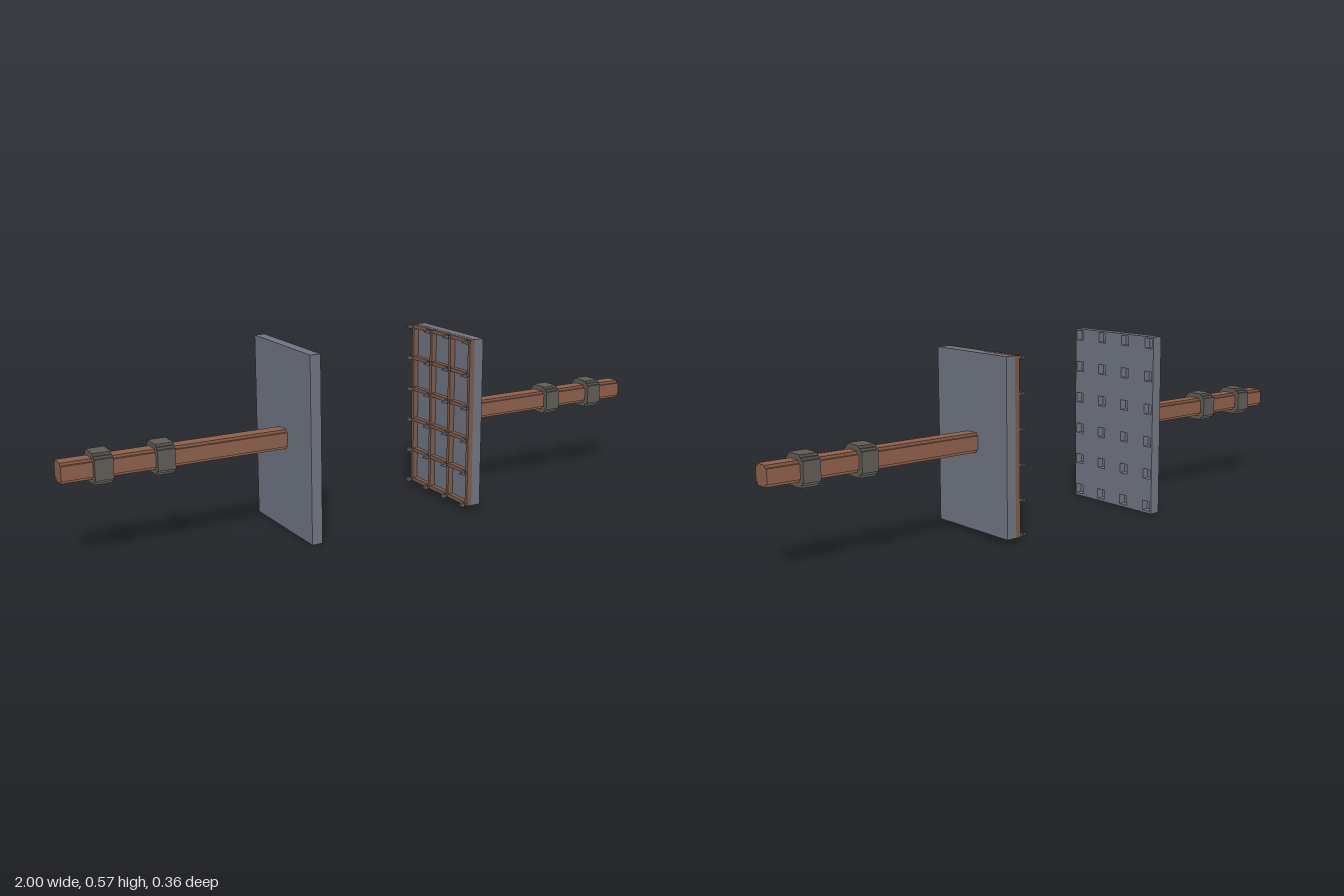
import * as THREE from 'three';

const mat = (name, color, opts = {}) => {
  const m = new THREE.MeshStandardMaterial({ color, ...opts });
  m.name = name;
  return m;
};

const CY = 0.288; // height of the rod axis
const COLS = [-0.159, -0.053, 0.053, 0.159];
const ROWS = [0, 1, 2, 3, 4, 5].map((i) => 0.024 + i * 0.1055);

export function createModel() {
  const steel = mat('steel plate', 0x6e7480);
  const wood = mat('wood', 0x8d5f4a);
  const iron = mat('dark iron', 0x5f5c56);
  const rust = mat('rusty bar', 0x7a5a4c);

  const root = new THREE.Group();
  root.name = 'pistonPair';

  const add = (parent, name, geo, material, x = 0, y = 0, z = 0) => {
    const m = new THREE.Mesh(geo, material);
    m.name = name;
    m.position.set(x, y, z);
    parent.add(m);
    return m;
  };
  // Box given by its x range, centre and size in y and z
  const slab = (parent, name, material, x0, x1, y, z, h, d) =>
    add(parent, name, new THREE.BoxGeometry(x1 - x0, h, d), material, (x0 + x1) / 2, y, z);

  // Prism along x whose corners are cut in square steps; steps lists one quadrant's corners
  const steppedPrism = (parent, name, material, x0, x1, steps) => {
    const quadrant = [];
    steps.forEach(([a, b], i) => {
      if (i > 0) quadrant.push([a, steps[i - 1][1]]);
      quadrant.push([a, b]);
    });
    const pts = [];
    for (let k = 0; k < 4; k++) {
      for (const [a, b] of quadrant) {
        const v = new THREE.Vector2(a, b);
        for (let r = 0; r < k; r++) v.set(-v.y, v.x);
        pts.push(v);
      }
    }
    const geo = new THREE.ExtrudeGeometry(new THREE.Shape(pts), { depth: x1 - x0, bevelEnabled: false });
    geo.rotateY(Math.PI / 2);
    add(parent, name, geo, material, x0, CY, 0);
  };

  const rod = (parent, x0, x1, collars) => {
    steppedPrism(parent, 'rod', wood, x0, x1, [[0.03, 0.0215], [0.0215, 0.03]]);
    for (const c of collars) {
      steppedPrism(parent, 'collar', iron, c - 0.027, c + 0.027,
        [[0.0455, 0.0305], [0.038, 0.038], [0.0305, 0.0455]]);
    }
  };

  // Socket side: plate with square recesses facing +x
  const socket = new THREE.Group();
  socket.name = 'socketSide';
  root.add(socket);
  rod(socket, -1, -0.309, [-0.883, -0.7]);
  slab(socket, 'socketPlateBack', steel, -0.31, -0.298, 0.2865, 0, 0.573, 0.362);
  const rect = (S, x0, y0, x1, y1) => {
    const s = new S();
    s.moveTo(x0, y0);
    s.lineTo(x1, y0);
    s.lineTo(x1, y1);
    s.lineTo(x0, y1);
    s.closePath();
    return s;
  };
  const face = rect(THREE.Shape, -0.181, 0, 0.181, 0.573);
  for (const z of COLS) {
    for (const y of ROWS) {
      face.holes.push(rect(THREE.Path, z - 0.016, y - 0.016, z + 0.016, y + 0.016));
    }
  }
  const faceGeo = new THREE.ExtrudeGeometry(face, { depth: 0.022, bevelEnabled: false });
  faceGeo.rotateY(Math.PI / 2);
  add(socket, 'socketPlateFace', faceGeo, steel, -0.298, 0, 0);

  // Spike side: plate, lattice of bars and a spike on every crossing, facing -x
  const spiked = new THREE.Group();
  spiked.name = 'spikeSide';
  root.add(spiked);
  rod(spiked, 0.304, 1, [0.693, 0.875]);
  slab(spiked, 'spikePlate', steel, 0.275, 0.307, 0.288, 0, 0.54, 0.33);
  for (const z of COLS) slab(spiked, 'uprightBar', rust, 0.258, 0.275, 0.288, z, 0.54, 0.012);
  for (const y of ROWS) slab(spiked, 'crossBar', rust, 0.2585, 0.275, y, 0, 0.012, 0.33);

  // Four-sided spike heads on short stems
  const head = new THREE.ConeGeometry(0.0105, 0.02, 4).toNonIndexed();
  head.rotateY(Math.PI / 4);
  head.rotateZ(Math.PI / 2);
  head.computeVertexNormals();
  for (const z of COLS) {
    for (const y of ROWS) {
      slab(spiked, 'spikeStem', iron, 0.245, 0.26, y, z, 0.007, 0.007);
      add(spiked, 'spikeHead', head, iron, 0.238, y, z);
    }
  }
  return root;
}
